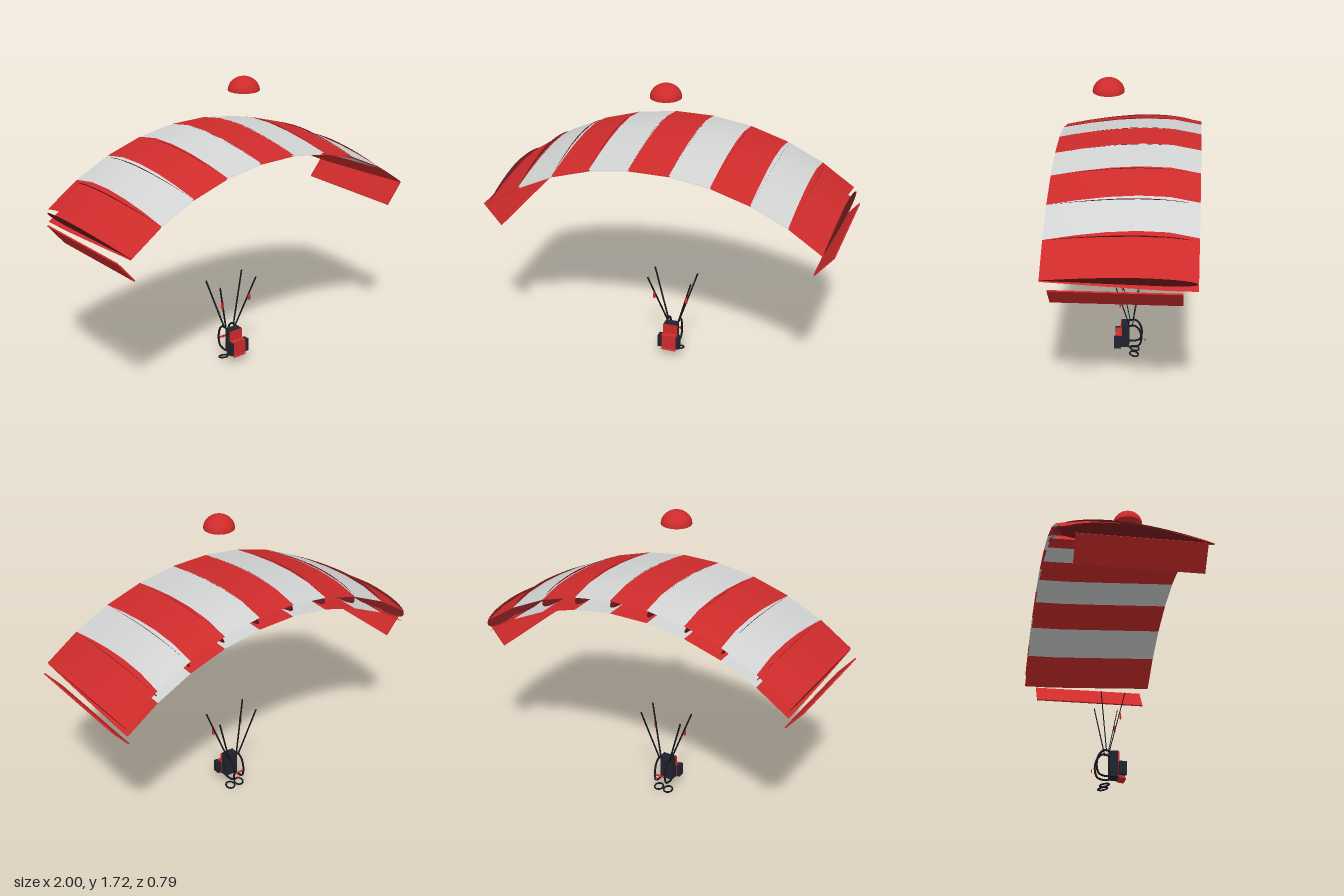
import * as THREE from 'three';

const mat = (name, color, side = THREE.FrontSide) => {
  const m = new THREE.MeshStandardMaterial({ color, side });
  m.name = name;
  return m;
};

export function createModel() {
  const red = mat('red', 0xcf2b2b, THREE.DoubleSide);
  const grey = mat('lightGrey', 0xd2d4d4, THREE.DoubleSide);
  const darkRed = mat('darkRed', 0x701a1c, THREE.DoubleSide);
  const navy = mat('navy', 0x20222e);
  const black = mat('black', 0x15161a);

  const root = new THREE.Group();
  root.name = 'parachute';
  const add = (name, geo, material, x = 0, y = 0, z = 0, parent = root) => {
    const m = new THREE.Mesh(geo, material);
    m.name = name;
    m.position.set(x, y, z);
    parent.add(m);
    return m;
  };
  const box = (name, material, w, h, d, x, y, z) =>
    add(name, new THREE.BoxGeometry(w, h, d), material, x, y, z);

  // Canopy arc: nine cells on a circle seen from the front
  const R = 1.52, STEP = THREE.MathUtils.degToRad(8.54), CELLS = 9;
  const edge = (i) => {
    const a = (i - CELLS / 2) * STEP;
    return { a, x: R * Math.sin(a), y: 1.338 - R * (Math.cos(STEP / 2) - Math.cos(a)) };
  };
  // Wing section as [z, height], trailing edge to nose
  const upper = [[0.395, 0], [0.24, 0.03], [0.08, 0.053], [-0.08, 0.065], [-0.24, 0.061], [-0.395, 0.032]];
  const lower = [[0.395, -0.008], [0.24, -0.016], [0.08, -0.024], [-0.08, -0.032], [-0.24, -0.039], [-0.395, -0.04]];

  const skin = (e0, e1, section) => {
    const pos = [], idx = [];
    section.forEach(([z, h], k) => {
      pos.push(e0.x, e0.y + h, z, e1.x, e1.y + h, z);
      if (k) {
        const a = 2 * k - 2;
        idx.push(a, a + 1, a + 3, a, a + 3, a + 2);
      }
    });
    const g = new THREE.BufferGeometry();
    g.setAttribute('position', new THREE.Float32BufferAttribute(pos, 3));
    g.setIndex(idx);
    g.computeVertexNormals();
    return g;
  };
  const canopy = new THREE.Group();
  canopy.name = 'canopy';
  root.add(canopy);
  for (let i = 0; i < CELLS; i++) {
    const m = i % 2 ? grey : red;
    add('upperSkin' + i, skin(edge(i), edge(i + 1), upper), m, 0, 0, 0, canopy);
    add('lowerSkin' + i, skin(edge(i), edge(i + 1), lower), m, 0, 0, 0, canopy);
  }

  // Ribs between the cells, standing square to the arc
  const ribShape = new THREE.Shape();
  ribShape.moveTo(0.395, 0);
  ribShape.splineThru([[0.24, 0.03], [0.08, 0.053], [-0.08, 0.065], [-0.24, 0.058], [-0.35, 0.036], [-0.39, 0.005],
    [-0.36, -0.02], [-0.24, -0.034], [-0.08, -0.028], [0.12, -0.018], [0.395, -0.004]].map((p) => new THREE.Vector2(...p)));
  const ribGeo = new THREE.ShapeGeometry(ribShape, 4).rotateY(-Math.PI / 2);
  for (let i = 0; i <= CELLS; i++) {
    const e = edge(i);
    add('rib' + i, ribGeo, darkRed, e.x, e.y, 0, canopy).rotation.z = -e.a;
  }

  // Slanted stabiliser panels under the tips
  for (const s of [-1, 1]) {
    const p = box('stabilizer', red, 0.008, 0.157, 0.67, s * 0.945, 0.925, 0.015);
    p.rotation.z = -s * Math.atan2(0.1, 0.12);
  }

  // Pilot chute
  const dome = new THREE.SphereGeometry(0.086, 28, 12, 0, Math.PI * 2, 0, Math.PI / 2);
  dome.scale(1, 0.87, 1);
  add('pilotChute', dome, red, 0, 1.655, 0.11);

  // Container pack with red front panels and side pouches
  box('backpack', navy, 0.08, 0.145, 0.046, 0, 0.138, 0.022);
  box('upperPanel', red, 0.088, 0.062, 0.008, 0, 0.175, 0.045);
  box('lowerPanel', red, 0.088, 0.085, 0.034, 0, 0.105, 0.062);
  box('bottomFlap', red, 0.086, 0.005, 0.038, 0, 0.059, 0.066).rotation.x = 0.18;

  // Harness straps, leg loops, risers and toggles
  const bar = (name, a, b, w, d, material) => {
    const from = new THREE.Vector3(...a), to = new THREE.Vector3(...b);
    const m = box(name, material, w, from.distanceTo(to), d, 0, 0, 0);
    m.position.copy(from).add(to).multiplyScalar(0.5);
    m.quaternion.setFromUnitVectors(new THREE.Vector3(0, 1, 0), to.sub(from).normalize());
  };
  for (const s of [-1, 1]) {
    box('sidePouch', navy, 0.02, 0.075, 0.04, s * 0.055, 0.108, 0.065);
    const path = new THREE.CatmullRomCurve3([[0.002, 0.205], [-0.03, 0.212], [-0.058, 0.19], [-0.074, 0.13],
      [-0.062, 0.08], [-0.035, 0.067], [0.002, 0.066]].map(([z, y]) => new THREE.Vector3(s * 0.034, y, z)));
    add('shoulderStrap', new THREE.TubeGeometry(path, 32, 0.006, 8), black);
    const ring = new THREE.TorusGeometry(0.026, 0.005, 8, 24).rotateX(Math.PI / 2);
    add('legLoop', ring, black, s * 0.031, 0.015, -0.031).rotation.x = -0.2;
    bar('frontRiser', [s * 0.033, 0.205, -0.005], [s * 0.131, 0.515, 0.066], 0.009, 0.004, black);
    bar('rearRiser', [s * 0.033, 0.205, -0.02], [s * 0.131, 0.515, -0.065], 0.009, 0.004, black);
    box('brakeToggle', red, 0.012, 0.035, 0.009, s * 0.098, 0.39, 0.045);
  }
  box('chestStrap', red, 0.066, 0.009, 0.006, 0, 0.122, -0.073);
  add('ripcordHandle', new THREE.TorusGeometry(0.008, 0.002, 6, 16), red, 0.018, 0.107, -0.095);

  return root;
}
